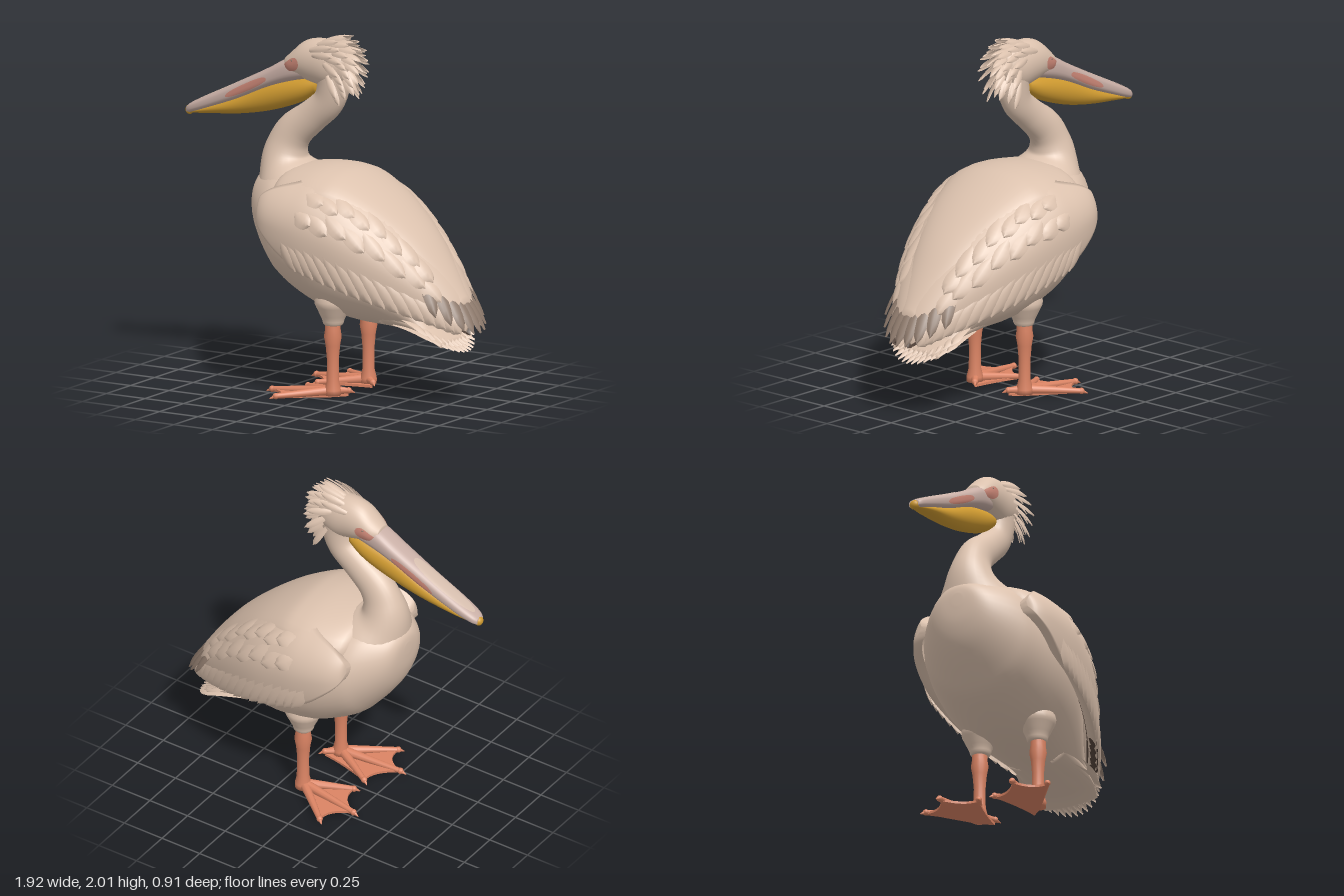
import * as THREE from 'three';
import { mergeGeometries } from 'three/addons/utils/BufferGeometryUtils.js';

const V = (x, y, z) => new THREE.Vector3(x, y, z);
const mat = (name, color) => Object.assign(new THREE.MeshStandardMaterial({ color, side: THREE.DoubleSide }), { name });

// Catmull-Rom blend of a table of cross-sections, t in rows
function blend(rows, t) {
  const n = rows.length - 1, i = Math.min(Math.max(Math.floor(t), 0), n - 1), f = t - i;
  const [a, b, c, d] = [i - 1, i, i + 1, i + 2].map(k => rows[Math.min(Math.max(k, 0), n)]);
  return b.map((q, k) => q + 0.5 * f * (c[k] - a[k] + f * (2 * a[k] - 5 * q + 4 * c[k] - d[k] + f * (3 * (q - c[k]) + d[k] - a[k]))));
}

// Closed smooth skin over rings of points, facing outwards
function loft(rings) {
  const n = rings[0].length, m = rings.length, pos = [], idx = [];
  rings.flat().forEach(p => pos.push(p.x, p.y, p.z));
  for (const r of [rings[0], rings[m - 1]]) {
    const c = r.reduce((s, p) => s.add(p), V(0, 0, 0)).divideScalar(n);
    pos.push(c.x, c.y, c.z);
  }
  for (let j = 0; j < n; j++) {
    const k = (j + 1) % n, e = (m - 1) * n;
    for (let i = 0; i < m - 1; i++) {
      const a = i * n + j, b = i * n + k;
      idx.push(a, a + n, b, b, a + n, b + n);
    }
    idx.push(m * n, j, k, m * n + 1, e + k, e + j);
  }
  const at = i => V(pos[3 * i], pos[3 * i + 1], pos[3 * i + 2]);
  let vol = 0;
  for (let i = 0; i < idx.length; i += 3) vol += at(idx[i]).dot(at(idx[i + 1]).cross(at(idx[i + 2])));
  if (vol < 0) idx.reverse();
  const g = new THREE.BufferGeometry();
  g.setAttribute('position', new THREE.Float32BufferAttribute(pos, 3));
  g.setIndex(idx);
  g.computeVertexNormals();
  return g;
}

// Sections across x: [x, bottom, top, halfWidth]
const soft = (v, p) => Math.sign(v) * Math.abs(v) ** p;
const slicePoint = ([x, lo, hi, w], a, p, off = 0) =>
  V(x, (lo + hi) / 2 + ((hi - lo) / 2 + off) * soft(Math.cos(a), p), (w + off) * soft(Math.sin(a), p));
function sliced(rows, p = 1, steps = 5, n = 32) {
  const rings = [];
  for (let i = 0; i <= (rows.length - 1) * steps; i++) {
    const r = blend(rows, i / steps);
    rings.push(Array.from({ length: n }, (_, j) => slicePoint(r, j / n * Math.PI * 2, p)));
  }
  return loft(rings);
}

// Thin oval of colour lying on a form whose sections run towards -x
function patch(rows, x0, rx, a0, ra, p, off) {
  const g = new THREE.RingGeometry(0.001, 1, 28, 5), q = g.attributes.position;
  for (let i = 0; i < q.count; i++) {
    const x = x0 + rx * q.getX(i);
    let a = 0, b = rows.length - 1;
    for (let k = 0; k < 20; k++) { const m = (a + b) / 2; blend(rows, m)[0] > x ? a = m : b = m; }
    const s = slicePoint(blend(rows, a), a0 + ra * q.getY(i), p, off);
    q.setXYZ(i, s.x, s.y, s.z);
  }
  g.computeVertexNormals();
  return g;
}

// Arched pointed leaf from p to q
function feather(p, q, normal, width, lift = 0.012) {
  const dir = q.clone().sub(p), side = dir.clone().cross(normal).normalize(), nn = side.clone().cross(dir).normalize();
  const g = new THREE.PlaneGeometry(1, 1, 4, 6), v = g.attributes.position;
  for (let i = 0; i < v.count; i++) {
    const s = v.getY(i) + 0.5, u = v.getX(i) * 2;
    const w = width * Math.min(1, 0.6 + s) * Math.sqrt(Math.max(0, 1 - s ** 4));
    const o = p.clone().addScaledVector(dir, s).addScaledVector(side, u * w)
      .addScaledVector(nn, lift * Math.sin(s * 2.2) - 0.3 * width * u * u);
    v.setXYZ(i, o.x, o.y, o.z);
  }
  g.computeVertexNormals();
  return g;
}

function rod(a, b, r0, r1) {
  const d = b.clone().sub(a), g = new THREE.CylinderGeometry(r1, r0, d.length(), 10);
  g.applyQuaternion(new THREE.Quaternion().setFromUnitVectors(V(0, 1, 0), d.normalize()));
  const c = a.clone().add(b).multiplyScalar(0.5);
  return g.translate(c.x, c.y, c.z);
}

const BODY = [[-0.458, 1.06, 1.13, 0.03], [-0.445, 0.95, 1.18, 0.12], [-0.4, 0.83, 1.22, 0.2], [-0.3, 0.69, 1.26, 0.295],
  [-0.2, 0.59, 1.265, 0.35], [0, 0.485, 1.26, 0.39], [0.2, 0.43, 1.2, 0.37], [0.4, 0.415, 1.03, 0.3],
  [0.58, 0.4, 0.68, 0.21], [0.7, 0.38, 0.48, 0.17], [0.76, 0.37, 0.4, 0.13]];
const MANTLE = [[-0.25, 1.04, 1.2, 0.2], [-0.2, 0.96, 1.258, 0.31], [-0.05, 0.92, 1.282, 0.37], [0.08, 0.96, 1.28, 0.36], [0.2, 0.98, 1.248, 0.33],
  [0.4, 0.9, 1.13, 0.275], [0.6, 0.74, 0.962, 0.2], [0.75, 0.6, 0.78, 0.13], [0.87, 0.5, 0.6, 0.06]];
const TAIL = [[0.4, 0.42, 0.6, 0.19], [0.6, 0.405, 0.535, 0.19], [0.72, 0.378, 0.45, 0.19], [0.8, 0.345, 0.378, 0.17]];
const HEAD = [[0.115, 1.82, 1.86, 0.03], [0.09, 1.74, 1.93, 0.075], [0, 1.7, 1.965, 0.1], [-0.1, 1.715, 1.97, 0.1],
  [-0.18, 1.735, 1.945, 0.092], [-0.25, 1.75, 1.885, 0.077], [-0.29, 1.78, 1.85, 0.05]];
const BILL = [[-0.15, 1.74, 1.86, 0.07], [-0.27, 1.71, 1.845, 0.073], [-0.4, 1.665, 1.775, 0.07], [-0.6, 1.575, 1.672, 0.065],
  [-0.8, 1.5, 1.575, 0.06], [-0.9, 1.468, 1.525, 0.048], [-0.935, 1.462, 1.5, 0.03]];
const POUCH = [[-0.09, 1.67, 1.745, 0.04], [-0.2, 1.6, 1.735, 0.062], [-0.4, 1.53, 1.685, 0.063], [-0.6, 1.49, 1.595, 0.056],
  [-0.8, 1.47, 1.52, 0.045], [-0.92, 1.458, 1.475, 0.02]];
// Neck path: [x, y, half depth, half width]
const NECK = [[-0.15, 0.95, 0.25, 0.28], [-0.245, 1.12, 0.205, 0.25], [-0.3, 1.25, 0.145, 0.155], [-0.292, 1.35, 0.118, 0.108],
  [-0.24, 1.44, 0.105, 0.087], [-0.13, 1.53, 0.092, 0.075], [-0.03, 1.62, 0.09, 0.076], [0.005, 1.72, 0.095, 0.083], [0, 1.82, 0.1, 0.09]];
// Wing sections: [x, crown, widest height, half width, upper edge, lower edge]
const WING = [[-0.275, 1.25, 1, 0.345, 1.08, 1.05], [-0.255, 1.25, 1, 0.39, 1.13, 0.99], [-0.18, 1.26, 0.99, 0.43, 1.18, 0.91],
  [-0.05, 1.27, 0.97, 0.452, 1.22, 0.8], [0.1, 1.265, 0.94, 0.452, 1.255, 0.74], [0.3, 1.185, 0.87, 0.42, 1.184, 0.67],
  [0.5, 1.04, 0.77, 0.345, 1.04, 0.6], [0.7, 0.83, 0.64, 0.235, 0.83, 0.53], [0.84, 0.64, 0.53, 0.13, 0.64, 0.47],
  [0.9, 0.51, 0.465, 0.06, 0.51, 0.44]];
function wingPoint(t, v, s, depth = 0) {
  const [x, top, mid, w, hi, lo] = blend(WING, t), ang = y => Math.acos(Math.min(1, Math.max(-1, (y - mid) / (top - mid))));
  const f = ang(hi) + (ang(lo) - ang(hi)) * v, d = Math.min(depth, w * 0.4, (top - mid) * 0.4);
  return V(x, mid + (top - mid - d) * Math.cos(f), s * (w - d) * Math.max(0, Math.sin(f)) ** (f < Math.PI / 2 ? 0.8 : 0.3));
}
function wingFeather(t, v, dt, dv, s, width, drop = 0, lift = 0.016, depth = 0) {
  const p = wingPoint(t, v, s, depth), q = wingPoint(Math.min(9, t + dt), Math.min(1, v + dv), s, depth);
  q.x += drop * 0.6; q.y -= drop;
  const e = wingPoint(t + 0.05, v, s).sub(p), c = wingPoint(t, v - 0.05, s).sub(p);
  return feather(p, q, e.cross(c).multiplyScalar(s), width, lift);
}

export function createModel() {
  const root = new THREE.Group();
  const plumage = mat('plumage', 0xdcc2ae), dark = mat('dark flight feather', 0x54443b), tipBrown = mat('brown feather tip', 0x8f7b6d);
  const billMat = mat('bill pink grey', 0xc8aea5), ridgeMat = mat('pale bill ridge', 0xd4bcac), red = mat('bare skin red', 0xcd8878);
  const yellow = mat('pouch yellow', 0xcf9a30), orange = mat('leg orange', 0xdb8464);
  const add = (name, geo, m, parent = root) => {
    const mesh = new THREE.Mesh(Array.isArray(geo) ? mergeGeometries(geo) : geo, m);
    mesh.name = name;
    parent.add(mesh);
  };

  // Body, back, neck and head
  add('body', sliced(BODY), plumage);
  add('mantle', sliced(MANTLE), plumage);
  const rings = [];
  for (let i = 0; i <= 48; i++) {
    const t = i / 6, [x, y, h, w] = blend(NECK, t), a = blend(NECK, Math.max(0, t - 0.05)), b = blend(NECK, Math.min(8, t + 0.05));
    const d = V(b[0] - a[0], b[1] - a[1], 0).normalize();
    rings.push(Array.from({ length: 28 }, (_, j) => {
      const c = Math.cos(j / 14 * Math.PI) * h;
      return V(x - d.y * c, y + d.x * c, w * Math.sin(j / 14 * Math.PI));
    }));
  }
  add('neck', loft(rings), plumage);
  add('head', sliced(HEAD), plumage);

  // Bill with pouch, hooked tip and coloured skin
  add('upperBill', sliced(BILL, 0.75), billMat);
  add('pouch', sliced(POUCH), yellow);
  add('billTip', new THREE.SphereGeometry(1, 16, 12).scale(0.023, 0.027, 0.028).translate(-0.928, 1.476, 0), yellow);
  add('billRidge', patch(BILL, -0.7, 0.2, 0, 0.6, 0.75, 0.002), ridgeMat);
  for (const s of [1, -1]) {
    add('billStripe', patch(BILL, -0.525, 0.135, s * 1.65, 0.35, 0.75, 0.002), red);
    add('eyePatch', patch(HEAD, -0.222, 0.055, s * 1.68, 0.42, 1, 0.004), red);
    add('eye', new THREE.SphereGeometry(0.008, 12, 8).translate(-0.212, 1.845, s * 0.084), tipBrown);
  }

  // Shaggy crest
  const crest = [], base = [[-0.06, 1.965], [0.02, 1.94], [0.065, 1.89], [0.075, 1.81]], tip = [[0.12, 1.995], [0.195, 1.92], [0.205, 1.8], [0.165, 1.68]];
  for (let j = 0; j <= 6; j++) for (let i = 0; i < 7; i++) {
    const k = (i - 3 + (j % 2) * 0.4) / 3.2, b = blend(base, j / 2), e = blend(tip, j / 2), k2 = k * k;
    crest.push(feather(V(b[0] - 0.05 * k2, b[1] - 0.055 * k2, k * 0.09),
      V(e[0] - 0.07 * k2 - 0.015 * (i % 2), e[1] - 0.06 * k2, k * (0.1 + 0.035 * Math.sin(j / 6 * Math.PI))), V(0.3, 0.7 - 0.1 * j, 1.6 * k), 0.02, 0.018));
  }
  add('crest', crest, plumage);

  // Wings: rounded shell, dark lining and overlapping feather rows
  for (const s of [1, -1]) {
    const wing = new THREE.Group(), shell = [], coverts = [], flight = [];
    wing.name = s > 0 ? 'wingPlusZ' : 'wingMinusZ';
    root.add(wing);
    for (let i = 0; i <= 45; i++) {
      const ring = [];
      for (let j = 0; j <= 18; j++) ring.push(wingPoint(i / 5, j / 18, s));
      for (let j = 18; j >= 0; j--) ring.push(wingPoint(i / 5, j / 18, s, 0.055));
      shell.push(ring);
    }
    add('wingShell', loft(shell), plumage, wing);
    const lining = new THREE.PlaneGeometry(1, 1, 8, 24), q = lining.attributes.position;
    for (let i = 0; i < q.count; i++) {
      const p = wingPoint(6.9 + 3.8 * q.getY(i), 0.75 + 0.48 * q.getX(i), s, 0.062);
      q.setXYZ(i, p.x, p.y, p.z);
    }
    lining.computeVertexNormals();
    add('wingLining', lining, dark, wing);
    for (let i = 0; i < 8; i++) {
      coverts.push(wingFeather(3.7 + i * 0.42, 0.24 + 0.03 * (i % 2), 0.65, 0.12, s, 0.055));
      coverts.push(wingFeather(3.5 + i * 0.5, 0.42 + 0.03 * (i % 2), 0.65, 0.13, s, 0.055));
    }
    for (let i = 0; i < 16; i++) coverts.push(wingFeather(2.9 + i * 0.33, 0.76, 0.55, 0.24, s, 0.046, 0.022));
    for (let i = 0; i < 11; i++) flight.push(wingFeather(5.9 + i * 0.24, 0.9, 0.5, 0.1, s, 0.03, 0.036, 0, 0.03));
    add('coverts', coverts, plumage, wing);
    add('flightFeathers', flight, dark, wing);
  }

  // Brown feather tips fanned over the rear
  const tips = [];
  for (let i = -4; i <= 4; i++) {
    const k = i / 4, k2 = k * k;
    tips.push(feather(V(0.81 - 0.13 * k2, 0.66 + 0.1 * k2, k * 0.17), V(0.943 - 0.15 * k2, 0.42 + 0.11 * k2, k * 0.21), V(1, 0.7, k), 0.036, 0.03));
  }
  add('wingTips', tips, tipBrown);

  // Tail: wedge with a two-layer fan
  add('tailBase', sliced(TAIL), plumage);
  const tail = [];
  for (let i = -6; i <= 6; i++) for (const l of [0, 1]) {
    const k = i / 6, k2 = k * k;
    tail.push(feather(V(0.5, 0.46 + 0.06 * l, k * 0.15), V(0.87 - 0.1 * k2 - 0.04 * l, 0.3 + 0.08 * k2 + 0.03 * l, k * 0.21), V(0.35, 1, 0), 0.036, 0.03));
  }
  add('tail', tail, plumage);

  // Legs and webbed feet
  for (const s of [1, -1]) {
    const leg = new THREE.Group();
    leg.name = s > 0 ? 'legPlusZ' : 'legMinusZ';
    root.add(leg);
    const thigh = [[0, 0.41], [0.05, 0.415], [0.064, 0.45], [0.088, 0.5], [0.105, 0.55], [0.075, 0.63], [0, 0.66]];
    add('thigh', new THREE.LatheGeometry(new THREE.SplineCurve(thigh.map(p => new THREE.Vector2(...p))).getPoints(18), 24).translate(0.115, 0, s * 0.18), plumage, leg);
    const shank = [[0, 0.015], [0.045, 0.02], [0.046, 0.05], [0.034, 0.1], [0.033, 0.22], [0.04, 0.3], [0.049, 0.35], [0.043, 0.39], [0.043, 0.46]];
    add('shank', new THREE.LatheGeometry(shank.map(p => new THREE.Vector2(...p)), 18).translate(0.115, 0, s * 0.185), orange, leg);
    const ankle = V(0.11, 0.045, s * 0.185);
    const ends = [[-0.13, 0.385], [-0.25, 0.23], [-0.13, 0.05], [0.18, 0.125]];
    const toes = ends.flatMap(([x, z]) => {
      const e = V(x, x > 0 ? 0.042 : 0.022, s * z), d = e.clone().sub(ankle).setY(0).normalize();
      return [rod(ankle, e, 0.028, 0.015), new THREE.SphereGeometry(0.018, 10, 8).translate(e.x, e.y, e.z),
        rod(e, e.clone().addScaledVector(d, 0.035).setY(e.y - 0.014), 0.014, 0.002)];
    });
    add('toes', toes, orange, leg);
    const web = new THREE.Shape();
    web.moveTo(0.125, s * 0.195);
    ends.forEach(([x, z], i) => {
      if (!i) return web.lineTo(x, s * z);
      const [px, pz] = ends[i - 1];
      web.quadraticCurveTo((x + px) / 2 * 0.75 + 0.11 * 0.25, s * ((z + pz) / 2 * 0.75 + 0.185 * 0.25), x, s * z);
    });
    add('web', new THREE.ExtrudeGeometry(web, { depth: 0.014, bevelEnabled: false, curveSegments: 8 }).rotateX(Math.PI / 2).translate(0, 0.024, 0), orange, leg);
  }
  return root;
}
